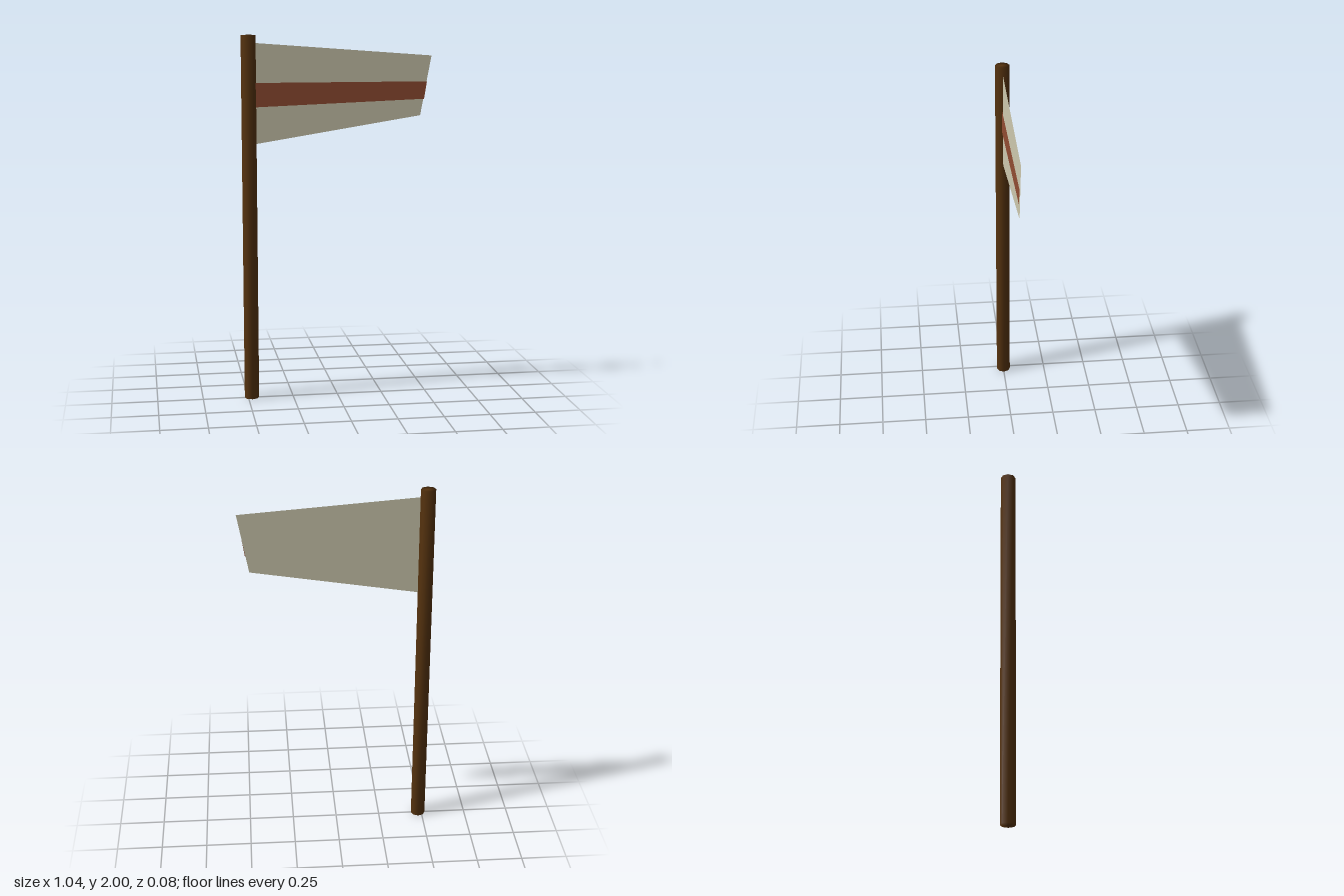
import * as THREE from 'three';
import { mergeVertices } from 'three/addons/utils/BufferGeometryUtils.js';

const wood = new THREE.MeshStandardMaterial({ name: 'dark wood', color: 0x56330f });
const cloth = new THREE.MeshStandardMaterial({ name: 'pale cloth', color: 0xcfcab0, side: THREE.DoubleSide });
const red = new THREE.MeshStandardMaterial({ name: 'rust red', color: 0x924c32, side: THREE.DoubleSide });

const POLE_X = -0.48;

// Flat sheet from a list of [x, y] corners
function sheet(name, corners, material, z) {
  const shape = new THREE.Shape(corners.map(([x, y]) => new THREE.Vector2(x, y)));
  const mesh = new THREE.Mesh(new THREE.ShapeGeometry(shape), material);
  mesh.name = name;
  mesh.position.z = z;
  return mesh;
}

export function createModel() {
  const group = new THREE.Group();
  group.name = 'flagOnPole';

  // Eight-sided pole, normals blended over sides and caps
  let poleGeometry = new THREE.CylinderGeometry(0.04, 0.04, 2, 8);
  poleGeometry.deleteAttribute('normal');
  poleGeometry.deleteAttribute('uv');
  poleGeometry = mergeVertices(poleGeometry);
  poleGeometry.computeVertexNormals();
  const pole = new THREE.Mesh(poleGeometry, wood);
  pole.name = 'pole';
  pole.position.set(POLE_X, 1, 0);
  group.add(pole);

  // Tapering flag
  group.add(sheet('flag', [[POLE_X, 1.41], [0.46, 1.56], [0.52, 1.885], [POLE_X, 1.96]], cloth, 0));

  // Stripe on the front side only
  group.add(sheet('stripe', [[POLE_X, 1.613], [0.48, 1.65], [0.495, 1.745], [POLE_X, 1.745]], red, 0.005));

  return group;
}
